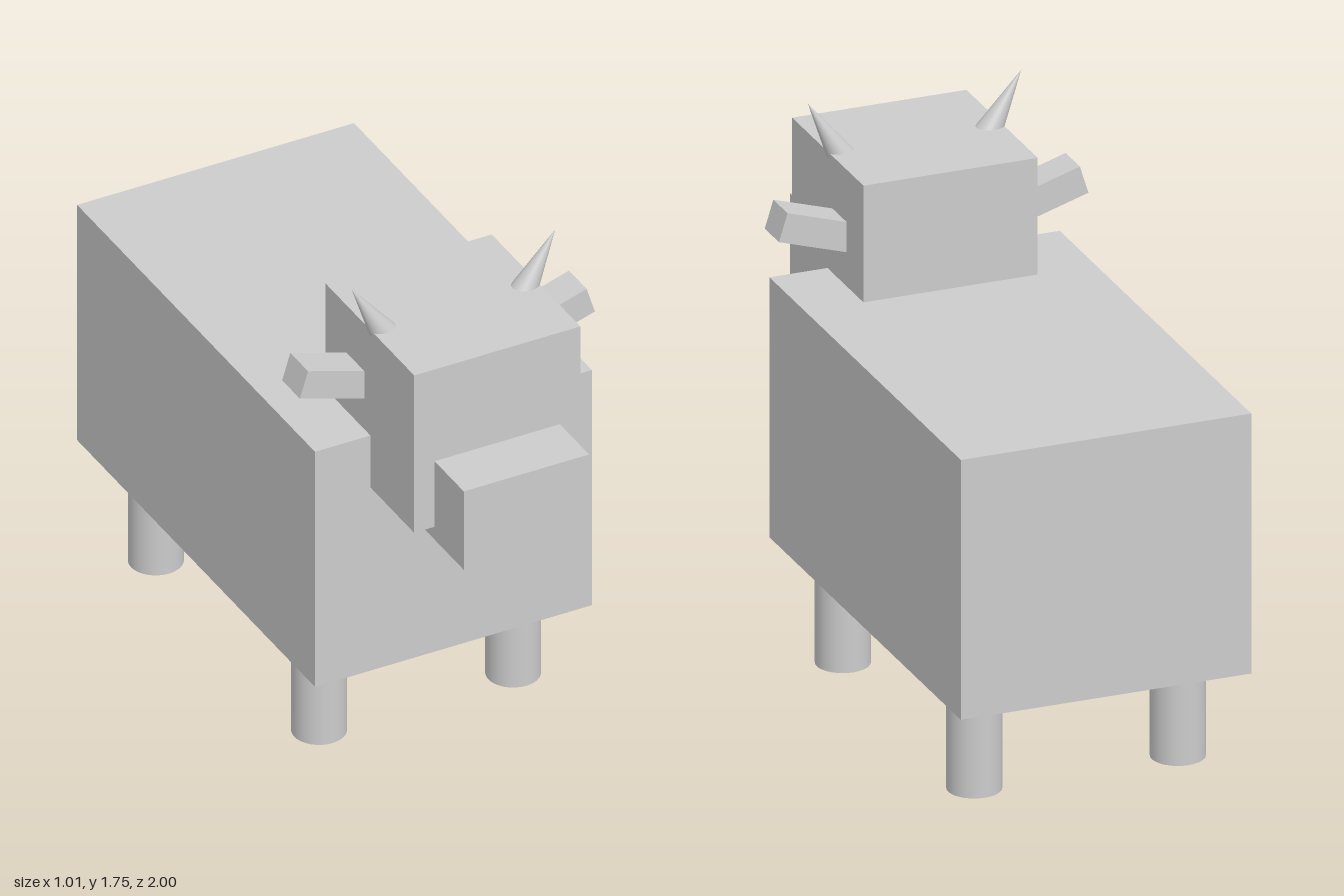
import * as THREE from 'three';

export function createModel() {
  const model = new THREE.Group();
  const material = new THREE.MeshStandardMaterial({ color: 0xcccccc });

  const add = (name, geometry, x, y, z, tilt = 0) => {
    const mesh = new THREE.Mesh(geometry, material);
    mesh.name = name;
    mesh.position.set(x, y, z);
    mesh.rotation.z = tilt;
    model.add(mesh);
  };

  // Blocky trunk, head and muzzle
  add('body', new THREE.BoxGeometry(0.95, 0.855, 1.53), 0, 0.767, -0.235);
  add('head', new THREE.BoxGeometry(0.57, 0.572, 0.57), 0, 1.292, 0.527);
  add('snout', new THREE.BoxGeometry(0.43, 0.285, 0.335), 0, 1.102, 0.832);

  const legGeometry = new THREE.CylinderGeometry(0.085, 0.085, 0.36, 32);
  const earGeometry = new THREE.BoxGeometry(0.285, 0.095, 0.114);
  const hornGeometry = new THREE.ConeGeometry(0.057, 0.285, 32);

  // Mirrored parts
  for (const [side, s] of [['left', 1], ['right', -1]]) {
    add(side + 'FrontLeg', legGeometry, s * 0.333, 0.18, 0.29);
    add(side + 'BackLeg', legGeometry, s * 0.333, 0.18, -0.76);
    add(side + 'Ear', earGeometry, s * 0.356, 1.378, 0.434, s * 0.3);
    add(side + 'Horn', hornGeometry, s * 0.278, 1.622, 0.53, -s * Math.PI / 6);
  }
  return model;
}
